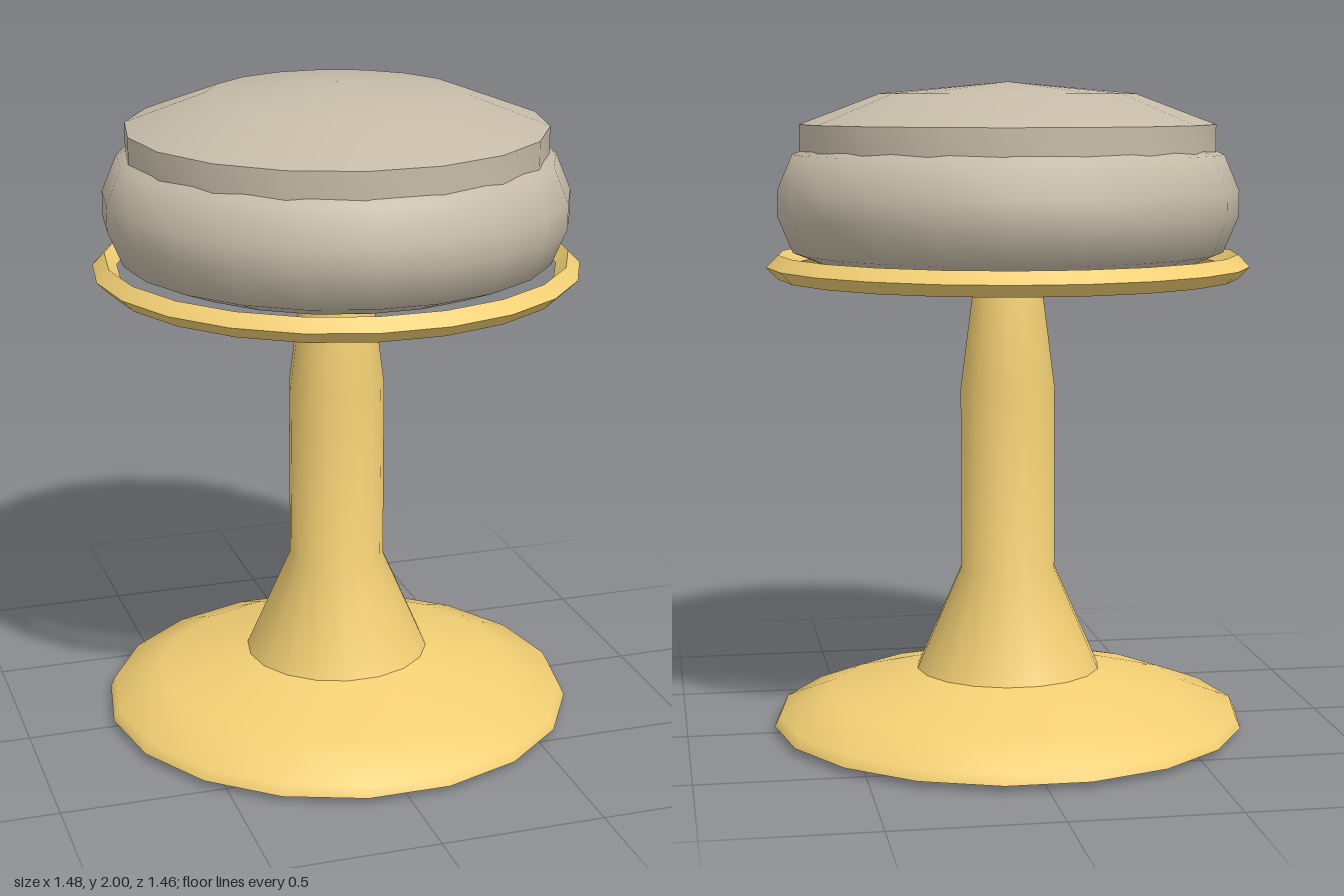
import * as THREE from 'three';
import { toCreasedNormals } from 'three/addons/utils/BufferGeometryUtils.js';

const gold = new THREE.MeshStandardMaterial({ color: 0xf2cf74 });
const fabric = new THREE.MeshStandardMaterial({ color: 0xc6bba8 });

// Turned part: [radius, height] profile from bottom to top, a corner on +x
function turned(name, profile, sides, material) {
  const points = profile.map(([r, y]) => new THREE.Vector2(r, y));
  const lathe = new THREE.LatheGeometry(points, sides, Math.PI / 2);
  const mesh = new THREE.Mesh(toCreasedNormals(lathe, 0.85), material);
  mesh.name = name;
  return mesh;
}

export function createModel() {
  const stool = new THREE.Group();
  stool.name = 'stool';

  // Dished foot flowing into a tapered column with a pointed tip
  stool.add(turned('pedestal', [
    [0, 0], [0.55, 0], [0.732, 0.02], [0.717, 0.052], [0.56, 0.113],
    [0.285, 0.187], [0.147, 0.503], [0.147, 1.067], [0.11, 1.355], [0, 1.407],
  ], 18, gold));

  // Diamond-section trim ring around the underside of the seat
  stool.add(turned('trimRing', [
    [0.702, 1.408], [0.739, 1.445], [0.702, 1.482], [0.665, 1.445], [0.702, 1.408],
  ], 22, gold));

  // Seat cushion with rounded upper and lower edges
  stool.add(turned('seatCushion', [
    [0, 1.444], [0.547, 1.444], [0.657, 1.488], [0.703, 1.598],
    [0.703, 1.673], [0.657, 1.783], [0.547, 1.828], [0, 1.828],
  ], 22, fabric));

  // Shallow domed top pad
  stool.add(turned('topPad', [
    [0, 1.77], [0.634, 1.77], [0.634, 1.873], [0.39, 1.965], [0, 2],
  ], 18, fabric));

  return stool;
}
